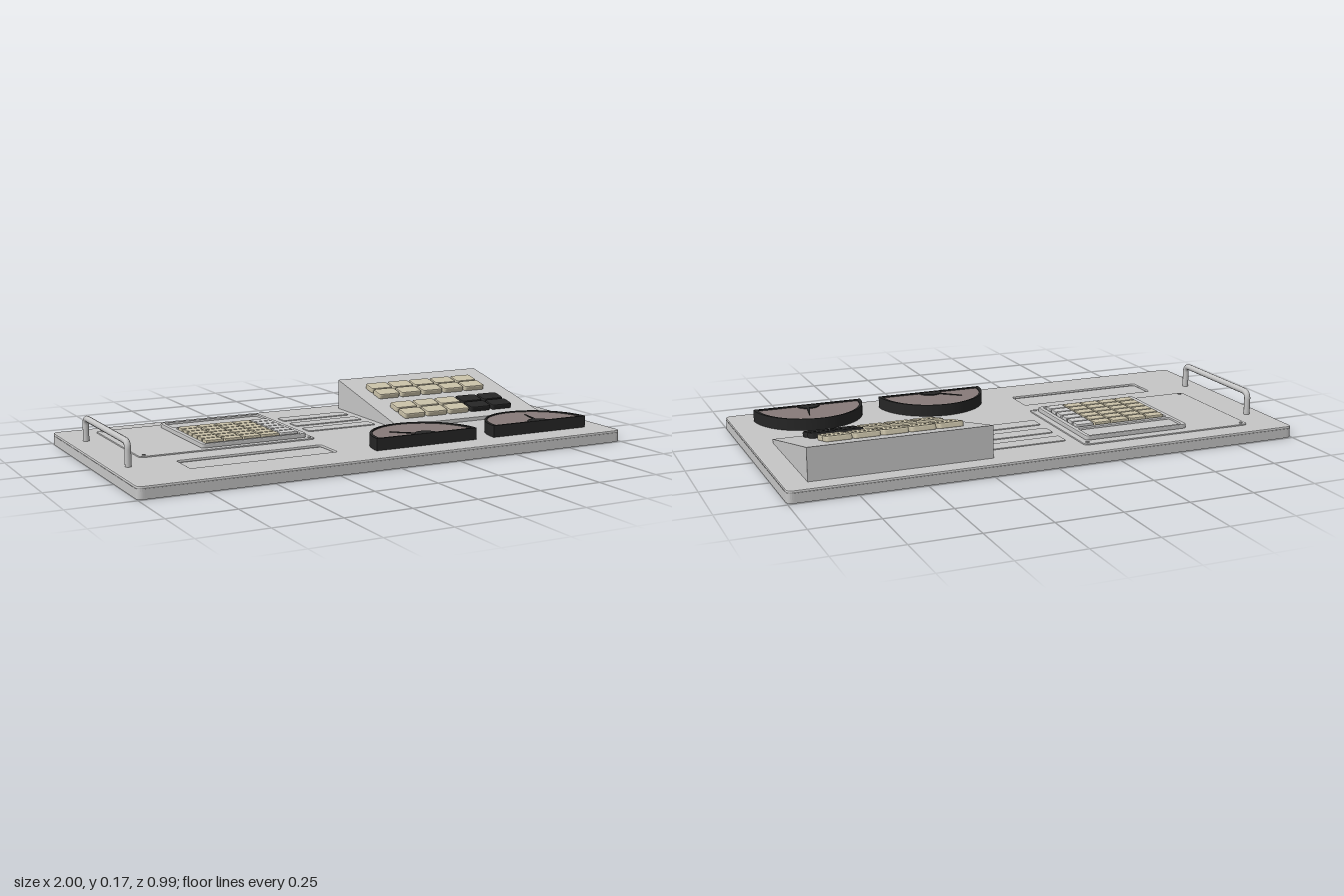
import * as THREE from 'three';

const mat = (name, color, side = THREE.FrontSide) => {
  const m = new THREE.MeshStandardMaterial({ color, side });
  m.name = name;
  return m;
};

export function createModel() {
  const root = new THREE.Group();
  const grey = mat('panel grey', 0xc6c6c6);
  const beige = mat('key beige', 0xcac2a9);
  const pale = mat('key pale grey', 0xcecece);
  const black = mat('black plastic', 0x262626);
  const dial = mat('dial taupe', 0x877b79);

  const add = (parent, name, geo, material) => {
    const mesh = new THREE.Mesh(geo, material);
    mesh.name = name;
    parent.add(mesh);
    return mesh;
  };

  // Rounded rectangle on the ground plane, as [x0, x1, z0, z1]
  const outline = ([x0, x1, z0, z1], r, path = new THREE.Shape()) => {
    const a = -z1, b = -z0;
    path.moveTo(x0 + r, a).lineTo(x1 - r, a);
    path.quadraticCurveTo(x1, a, x1, a + r).lineTo(x1, b - r);
    path.quadraticCurveTo(x1, b, x1 - r, b).lineTo(x0 + r, b);
    path.quadraticCurveTo(x0, b, x0, b - r).lineTo(x0, a + r);
    path.quadraticCurveTo(x0, a, x0 + r, a);
    return path;
  };

  // Upright extrusion of a ground-plane shape between two heights
  const raise = (shape, y0, y1, bevel = 0) => new THREE.ExtrudeGeometry(shape, {
    depth: y1 - y0 - 2 * bevel, bevelEnabled: bevel > 0, bevelThickness: bevel,
    bevelSize: bevel, bevelOffset: -bevel, bevelSegments: 2, curveSegments: 6,
  }).rotateX(-Math.PI / 2).translate(0, y0 + bevel, 0);

  const plate = (rect, r, y0, y1, bevel = 0, holes = []) => {
    const shape = outline(rect, r);
    holes.forEach(h => shape.holes.push(outline(h, r * 0.5, new THREE.Path())));
    return raise(shape, y0, y1, bevel);
  };

  // Base panel with a sunken label tray
  const tray = [-0.745, -0.17, 0.19, 0.325];
  add(root, 'baseLower', plate([-1, 1, -0.495, 0.495], 0.025, 0, 0.036), grey);
  add(root, 'baseUpper', plate([-1, 1, -0.495, 0.495], 0.025, 0.034, 0.046, 0.005, [tray]), grey);

  // Carry handle
  const path = new THREE.CurvePath();
  const v = (y, z) => new THREE.Vector3(-0.93, y, z);
  path.add(new THREE.LineCurve3(v(0.04, 0.203), v(0.108, 0.203)));
  path.add(new THREE.QuadraticBezierCurve3(v(0.108, 0.203), v(0.135, 0.203), v(0.135, 0.176)));
  path.add(new THREE.LineCurve3(v(0.135, 0.176), v(0.135, -0.253)));
  path.add(new THREE.QuadraticBezierCurve3(v(0.135, -0.253), v(0.135, -0.28), v(0.108, -0.28)));
  path.add(new THREE.LineCurve3(v(0.108, -0.28), v(0.04, -0.28)));
  add(root, 'handle', new THREE.TubeGeometry(path, 96, 0.012, 12), grey);

  // Keypad mounting plate and its screws
  add(root, 'keypadPlate', plate([-0.85, -0.145, -0.415, 0.095], 0.02, 0.044, 0.051, 0.002), grey);
  for (const x of [-0.828, -0.163]) for (const z of [-0.397, 0.077]) {
    add(root, 'screw', new THREE.CylinderGeometry(0.007, 0.007, 0.004, 10).translate(x, 0.052, z), grey);
  }

  // Keypad bezel with display window and key well
  add(root, 'keypadBezel', plate([-0.6, -0.17, -0.375, 0.07], 0.016, 0.049, 0.068, 0.004,
    [[-0.582, -0.188, -0.362, -0.268], [-0.58, -0.19, -0.248, 0.058]]), grey);
  add(root, 'display', plate([-0.586, -0.184, -0.366, -0.264], 0.004, 0.049, 0.06), grey);
  for (let c = 0; c < 5; c++) for (let r = 0; r < 6; r++) {
    const x = -0.573 + c * 0.0765, z = -0.241 + r * 0.0492;
    add(root, 'keypadKey', plate([x, x + 0.07, z, z + 0.043], 0.005, 0.05, 0.074, 0.003),
      c === 4 ? pale : beige);
  }

  // Three label pads in the middle
  for (let i = 0; i < 3; i++) {
    const z = -0.335 + i * 0.115;
    add(root, 'labelPad', plate([-0.105, 0.192, z, z + 0.065], 0.01, 0.044, 0.05, 0.002), grey);
  }

  // Sloped console
  const profile = new THREE.Shape();
  profile.moveTo(-0.07, 0.044).lineTo(0.425, 0.044).lineTo(0.425, 0.169).lineTo(-0.07, 0.06);
  add(root, 'console', new THREE.ExtrudeGeometry(profile, { depth: 0.685, bevelEnabled: false })
    .rotateY(Math.PI / 2).translate(0.225, 0, 0), grey);

  // Console keys, laid out along the slope
  const slope = Math.atan2(0.109, 0.495);
  const keys = new THREE.Group();
  keys.name = 'consoleKeys';
  keys.position.set(0, 0.06, 0.07);
  keys.rotation.x = slope;
  root.add(keys);
  [-0.287, -0.221, -0.08, -0.012].forEach((zc, r) => {
    const z = (zc - 0.07) / Math.cos(slope);
    for (let c = 0; c < 5; c++) {
      const x = 0.295 + c * 0.1045;
      add(keys, 'consoleKey', plate([x, x + 0.097, z - 0.031, z + 0.031], 0.012, -0.002, 0.021, 0.005),
        r > 1 && c > 2 ? black : beige);
    }
  });

  // Half-round meters: rim, dial face, hub and needle
  const half = (radius) => {
    const s = new THREE.Shape();
    s.absarc(0, 0, radius, 0, Math.PI, false);
    s.closePath();
    return s;
  };
  const meter = (x, angle) => {
    const g = new THREE.Group();
    g.name = 'meter';
    g.position.set(x, 0, 0.385);
    root.add(g);
    const rim = half(0.217);
    const opening = new THREE.Path();
    opening.absarc(0, 0.01, 0.202, 0, Math.PI, false);
    opening.closePath();
    rim.holes.push(opening);
    const smoothRaise = (shape, y0, y1) => new THREE.ExtrudeGeometry(shape,
      { depth: y1 - y0, bevelEnabled: false, curveSegments: 32 })
      .rotateX(-Math.PI / 2).translate(0, y0, 0);
    add(g, 'meterRim', smoothRaise(rim, 0.044, 0.092), black);
    add(g, 'meterFace', smoothRaise(half(0.21), 0.044, 0.087), dial).position.z = -0.004;
    add(g, 'meterHub', smoothRaise(half(0.046), 0.087, 0.091), black).position.z = -0.006;
    const needle = new THREE.Shape();
    needle.moveTo(0.03, -0.006).lineTo(0.142, -0.0015).lineTo(0.142, 0.0015).lineTo(0.03, 0.006);
    const n = add(g, 'meterNeedle', smoothRaise(needle, 0.087, 0.09), black);
    n.position.z = -0.006;
    n.rotation.y = angle;
  };
  meter(0.178, 2.42);
  meter(0.692, 1.36);

  return root;
}
